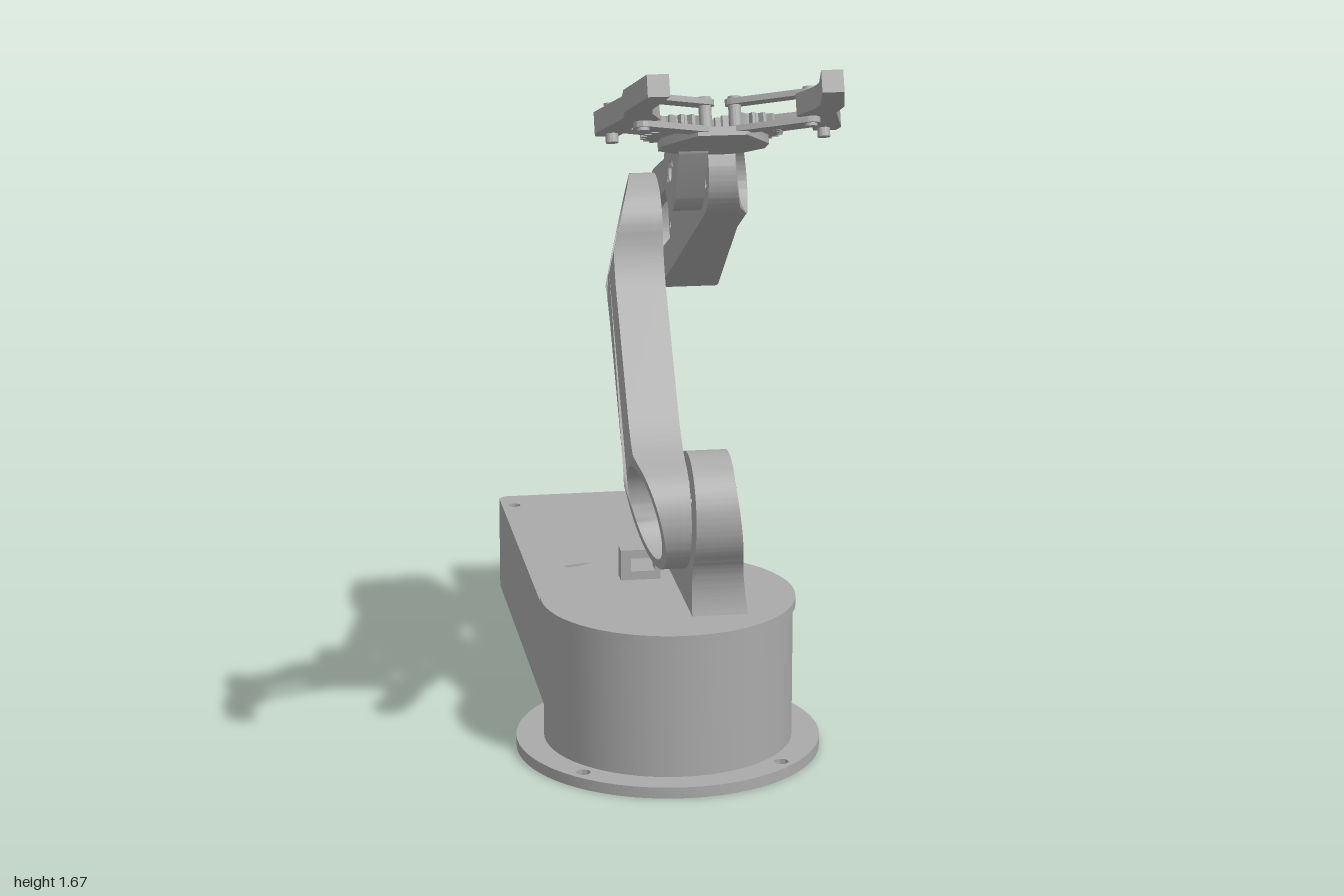
import * as THREE from 'three';
import { toCreasedNormals } from 'three/addons/utils/BufferGeometryUtils.js';

const grey = new THREE.MeshStandardMaterial({ color: 0xaaaaaa });
grey.name = 'printed grey';

// ---- 2D outlines ----
const poly = (pts) => new THREE.Shape(pts.map(([x, y]) => new THREE.Vector2(x, y)));
const disc = (x, y, r) => new THREE.Shape().absarc(x, y, r, 0, Math.PI * 2, false);
function rect(cx, cy, w, h, a = 0) {
  const c = Math.cos(a), s = Math.sin(a);
  return poly([[-1, -1], [1, -1], [1, 1], [-1, 1]].map(([i, j]) =>
    [cx + i * w / 2 * c - j * h / 2 * s, cy + i * w / 2 * s + j * h / 2 * c]));
}
// Two circles joined by tangents; extra points can be added on the upper edge
function hull(ax, ay, ra, bx, by, rb, extra = []) {
  const a = Math.atan2(by - ay, bx - ax);
  const f = Math.acos((ra - rb) / Math.hypot(bx - ax, by - ay));
  const s = new THREE.Shape().absarc(bx, by, rb, a - f, a + f, false);
  extra.forEach(([x, y]) => s.lineTo(x, y));
  return s.absarc(ax, ay, ra, a + f, a + Math.PI * 2 - f, false);
}
function cut(shape, ...holes) {
  shape.holes.push(...holes);
  return shape;
}

// ---- solids ----
function solid(parent, name, geo) {
  const m = new THREE.Mesh(toCreasedNormals(geo, 0.6), grey);
  m.name = name;
  parent.add(m);
  return m;
}
const extrude = (shape, depth) =>
  new THREE.ExtrudeGeometry(shape, { depth, bevelEnabled: false, curveSegments: 32 });
// Outline in (z, y), thickness along x; rule(x, z, y) may reshape x
function sidePlate(parent, name, shape, x0, x1, rule) {
  const g = extrude(shape, x1 - x0).rotateY(-Math.PI / 2).translate(x1, 0, 0);
  if (rule) {
    const p = g.attributes.position;
    for (let i = 0; i < p.count; i++) p.setX(i, rule(p.getX(i), p.getZ(i), p.getY(i)));
  }
  return solid(parent, name, g);
}
// Outline in (x, -z), thickness along y
const flatPlate = (parent, name, shape, y0, y1) =>
  solid(parent, name, extrude(shape, y1 - y0).rotateX(-Math.PI / 2).translate(0, y0, 0));
function joint(parent, name, z, y, angle) {
  const g = new THREE.Group();
  g.name = name;
  g.position.set(0, y, z);
  g.rotation.x = -angle;
  parent.add(g);
  return g;
}

function buildBase(root) {
  const base = joint(root, 'base', 0.17, 0, 0);
  const bolts = [1, 3, 5, 7].map((k) =>
    disc(0.31 * Math.cos(k * Math.PI / 4), 0.31 * Math.sin(k * Math.PI / 4), 0.016));
  flatPlate(base, 'flange', cut(disc(0, 0, 0.34), disc(0, 0, 0.26), ...bolts), 0, 0.025);
  flatPlate(base, 'drum', cut(disc(0, 0, 0.278), disc(0, 0, 0.26)), 0.025, 0.33);
  flatPlate(base, 'turntable', disc(0, 0, 0.284), 0.33, 0.35);
  const servo = solid(base, 'turntableServo', new THREE.BoxGeometry(0.12, 0.2, 0.22));
  servo.position.set(0, 0.23, 0.02);
  // Cable clip standing on the turntable
  const clip = solid(base, 'cableClip', extrude(cut(rect(-0.045, 0.385, 0.09, 0.07), rect(-0.04, 0.385, 0.055, 0.03)), 0.04));
  clip.position.z = -0.15;
}

function buildControlBox(root) {
  const box = new THREE.Group();
  box.name = 'controlBox';
  box.rotation.y = 0.012;
  box.position.x = 0.006;
  root.add(box);
  // Footprint with a concave end that hugs the drum
  const footprint = () => new THREE.Shape().moveTo(-0.253, 0.02).lineTo(-0.21, 0.02)
    .absarc(0, -0.17, 0.283, Math.atan2(0.19, -0.21), Math.atan2(0.19, 0.21), true)
    .lineTo(0.253, 0.02).lineTo(0.253, 0.985).lineTo(0.238, 1).lineTo(-0.238, 1).lineTo(-0.253, 0.985);
  flatPlate(box, 'boxFloor', footprint(), 0.003, 0.015);
  const holes = [[-0.222, 0.92], [0.222, 0.92], [0.222, 0.34], [-0.222, 0.145]].map(([x, y]) => disc(x, y, 0.015));
  for (let i = 0; i < 7; i++) {
    const y = 0.17 + i * 0.04;
    holes.push(hull(-0.155, y, 0.009, 0.155, y + 0.06, 0.009));
  }
  flatPlate(box, 'ventedLid', cut(footprint(), ...holes), 0.223, 0.235);
  const wall = () => rect(-0.503, 0.119, 0.964, 0.208);
  sidePlate(box, 'leftWall', cut(wall(), disc(-0.17, 0.095, 0.032), rect(-0.272, 0.1, 0.055, 0.07)), 0.238, 0.253);
  sidePlate(box, 'rightWall', wall(), -0.253, -0.238);
  const back = cut(rect(0, 0.119, 0.476, 0.208), rect(0.07, 0.08, 0.08, 0.07), rect(-0.11, 0.08, 0.06, 0.08));
  solid(box, 'backWall', extrude(back, 0.015)).position.z = -1;
}

function buildShoulder(root) {
  const outline = () => new THREE.Shape().moveTo(0.33, 0.35).quadraticCurveTo(0.31, 0.43, 0.35, 0.481)
    .absarc(0.255, 0.57, 0.13, -0.75, 2.2, false).lineTo(0, 0.5).quadraticCurveTo(-0.04, 0.46, -0.04, 0.35);
  const a = Math.atan2(0.12, 0.145);
  const screws = [[0.31, 0.61], [0.275, 0.64], [0.12, 0.4], [0.08, 0.44]].map(([x, y]) => disc(x, y, 0.008));
  const bracket = joint(root, 'shoulderBracket', 0, 0, 0);
  sidePlate(bracket, 'servoPlate', cut(outline(), rect(0.195, 0.52, 0.22, 0.11, a), ...screws), 0.03, 0.05);
  sidePlate(bracket, 'bracketRim', cut(outline(), hull(0.255, 0.57, 0.108, 0.11, 0.45, 0.082)), 0.05, 0.12,
    (x, z, y) => (x > 0.1 ? x + Math.max(0, 0.65 - y) * 0.11 : x));
}

function buildLowerArm(root) {
  const arm = joint(root, 'lowerArm', 0.245, 0.565, Math.atan2(0.542, -0.422));
  const L = 0.687, R = 0.125, w = 0.0725, k = 2.1;
  // Waisted beam with a round cup at each end
  const outline = () => new THREE.Shape().absarc(L, 0, R, -k, k, false)
    .quadraticCurveTo(L - 0.124, w, L - 0.2, w).lineTo(0.2, w)
    .quadraticCurveTo(0.124, w, -R * Math.cos(k), R * Math.sin(k))
    .absarc(0, 0, R, Math.PI - k, Math.PI + k, false)
    .quadraticCurveTo(0.124, -w, 0.2, -w).lineTo(L - 0.2, -w).quadraticCurveTo(L - 0.124, -w, L + R * Math.cos(k), -R * Math.sin(k));
  const slant = (x, t) => Math.max(x, -0.09 + 0.27 * Math.max(0, 0.1 - t, t - L + 0.1));
  sidePlate(arm, 'armBody', cut(outline(), disc(0, 0, 0.103), disc(L, 0, 0.103)), -0.09, 0, slant);
  const holes = [0, L].flatMap((t) => [disc(t, 0, 0.023), disc(t + 0.04, 0.01, 0.009), disc(t - 0.04, -0.01, 0.009)]);
  sidePlate(arm, 'armFloor', cut(outline(), ...holes), 0, 0.022);
}

function buildForearm(root) {
  const arm = joint(root, 'forearm', -0.177, 1.107, 0.3915);
  const L = 0.69, r0 = 0.135, r1 = 0.095, c = (r0 - r1) / L;
  const edge = (t) => (r0 - t * c) / Math.sqrt(1 - c * c);
  const outline = (extra) => hull(0, 0, r0, L, 0, r1, extra);
  const pockets = () => [hull(0, 0, 0.115, 0.15, 0, 0.09), hull(0.58, 0, 0.075, L, 0, 0.075)];
  const slant = (x, t) => Math.min(x, 0.158 - Math.max(0, -t - 0.02) * 0.35 - Math.max(0, t - 0.48) * 0.25);
  const screws = [[-0.1, 0.03], [-0.1, -0.03], [0.215, 0.03], [0.215, -0.03], [0.56, 0.03], [0.56, -0.03]]
    .map(([t, v]) => disc(t, v, 0.008));
  sidePlate(arm, 'servoFloor', cut(outline(), rect(0.06, 0, 0.27, 0.115), rect(0.66, 0, 0.16, 0.09), ...screws), 0.026, 0.05);
  // Middle layer carries the cable window on its upper edge
  const notch = [[0.45, edge(0.45)], [0.45, 0.01], [0.29, 0.01], [0.29, edge(0.29)]];
  sidePlate(arm, 'windowLayer', cut(outline(notch), ...pockets()), 0.05, 0.115, slant);
  sidePlate(arm, 'outerShell', cut(outline(), ...pockets()), 0.115, 0.158, slant);
}

function gear(cx, cy, hub) {
  const pts = [], teeth = 20;
  for (let i = 0; i < teeth * 4; i++) {
    const a = i / (teeth * 4) * Math.PI * 2, r = i % 4 < 2 ? 0.074 : 0.062;
    pts.push([cx + r * Math.cos(a), cy + r * Math.sin(a)]);
  }
  return cut(poly(pts), hub);
}

function buildGripper(root) {
  const wrist = joint(root, 'wrist', 0.46, 1.37, 0.385);
  sidePlate(wrist, 'wristBracket', cut(hull(0, 0, 0.083, 0.12, 0.025, 0.022),
    disc(0, 0, 0.022), disc(0.035, 0.01, 0.008), disc(-0.035, -0.01, 0.008)), -0.04, 0.02);
  const g = new THREE.Group();
  g.name = 'gripper';
  g.position.set(0.025, 0.056, 0);
  wrist.add(g);
  flatPlate(g, 'gripperBase', poly([[-0.065, -0.06], [-0.02, -0.06], [0.075, -0.11], [0.11, -0.15], [0.11, -0.2],
    [0.05, -0.3], [-0.05, -0.3], [-0.11, -0.2], [-0.11, -0.15], [-0.065, -0.11]]), -0.042, -0.024);
  const finger = [[0.245, 0.22], [0.25, 0.25], [0.212, 0.4], [0.217, 0.46], [0.19, 0.6], [0.147, 0.6],
    [0.165, 0.48], [0.16, 0.44], [0.136, 0.38], [0.15, 0.34], [0.178, 0.31], [0.198, 0.22]];
  for (const [side, s] of [['right', -1], ['left', 1]]) {
    const hub = s < 0 ? disc(-0.0725, -0.163, 0.01) : rect(0.0725, -0.163, 0.05, 0.016, -0.6);
    flatPlate(g, side + 'Gear', gear(s * 0.0725, -0.163, hub), -0.016, 0.016);
    flatPlate(g, side + 'GearLever', hull(s * 0.13, -0.198, 0.022, s * 0.215, -0.244, 0.018), -0.014, 0.014);
    flatPlate(g, side + 'Finger', poly(finger.map(([u, t]) => [s * u, -t])), -0.022, 0.022);
    for (const n of [-0.034, 0.022])
      flatPlate(g, side + 'Link', hull(s * 0.03, -0.28, 0.019, s * 0.168, -0.357, 0.019), n, n + 0.012);
    for (const [u, t] of [[0.03, 0.28], [0.168, 0.357], [0.215, 0.244]]) {
      const pin = solid(g, side + 'Pin', new THREE.CylinderGeometry(0.013, 0.013, 0.08, 16));
      pin.position.set(s * u, 0, t);
    }
  }
}

export function createModel() {
  const root = new THREE.Group();
  root.name = 'robotArm';
  buildBase(root);
  buildControlBox(root);
  buildShoulder(root);
  buildLowerArm(root);
  buildForearm(root);
  buildGripper(root);
  return root;
}
